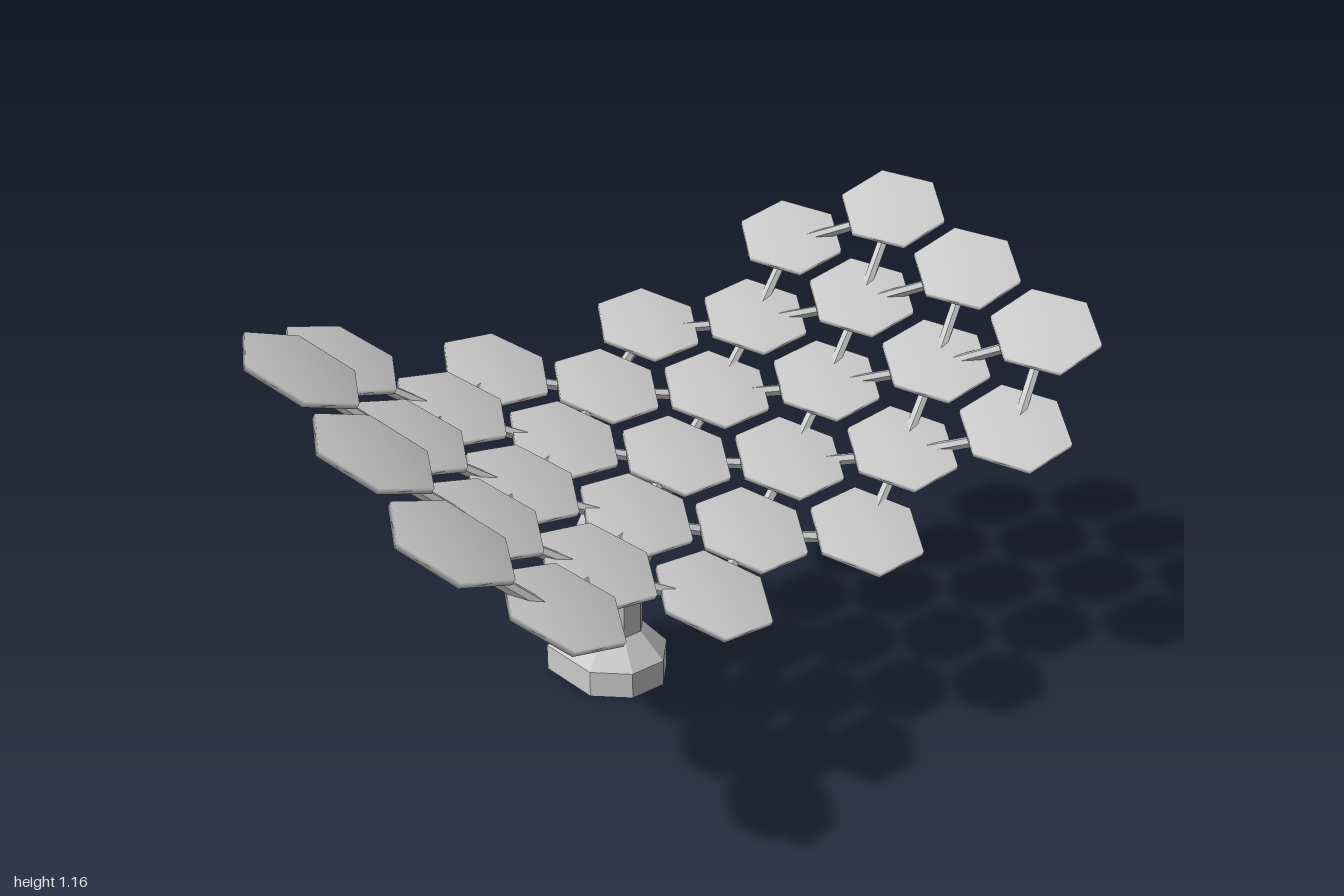
import * as THREE from 'three';
import { mergeVertices } from 'three/addons/utils/BufferGeometryUtils.js';

const grey = new THREE.MeshStandardMaterial({ color: 0xcccccc });
const greyFlat = new THREE.MeshStandardMaterial({ color: 0xcccccc, flatShading: true });
const rad = THREE.MathUtils.degToRad;

// Lofts an outline of [x, z] points through levels of [y, scaleX, scaleZ], with both ends capped.
function loft(outline, levels) {
  const n = outline.length;
  const pos = [];
  const index = [];
  for (const [y, sx, sz] of levels) for (const [x, z] of outline) pos.push(x * sx, y, z * sz);
  for (let l = 0; l < levels.length - 1; l++) {
    for (let i = 0; i < n; i++) {
      const a = l * n + i, b = l * n + (i + 1) % n;
      index.push(a, a + n, b + n, a, b + n, b);
    }
  }
  const top = (levels.length - 1) * n;
  for (let i = 1; i < n - 1; i++) index.push(0, i, i + 1, top, top + i + 1, top + i);
  const g = new THREE.BufferGeometry();
  g.setAttribute('position', new THREE.Float32BufferAttribute(pos, 3));
  g.setIndex(index);
  g.computeVertexNormals();
  return g;
}

function addMesh(parent, name, geometry, material, x = 0, y = 0, z = 0) {
  const m = new THREE.Mesh(geometry, material);
  m.name = name;
  m.position.set(x, y, z);
  parent.add(m);
  return m;
}

// Straight rod between two points
function addStrut(parent, a, b) {
  const d = b.clone().sub(a);
  const m = addMesh(parent, 'strut', new THREE.CylinderGeometry(0.014, 0.014, d.length() + 0.02, 6), greyFlat);
  m.position.copy(a).lerp(b, 0.5);
  m.quaternion.setFromUnitVectors(new THREE.Vector3(0, 1, 0), d.normalize());
}

// Thin hexagonal panel, points towards +x and -x, softly shaded
function panelGeometry() {
  const g = new THREE.CylinderGeometry(0.139, 0.139, 0.014, 6).rotateY(Math.PI / 2);
  g.deleteAttribute('normal');
  g.deleteAttribute('uv');
  const merged = mergeVertices(g);
  merged.computeVertexNormals();
  return merged;
}

export function createModel() {
  const model = new THREE.Group();
  model.name = 'panelDish';
  const axisZ = -0.285;

  // Pedestal: square at the back, chamfered at the front
  const section = [[1, -1], [1, 0.4], [0.4, 1], [-0.4, 1], [-1, 0.4], [-1, -1]];
  addMesh(model, 'pedestal', loft(section, [
    [0, 0.127, 0.129], [0.07, 0.127, 0.129], [0.14, 0.067, 0.068], [0.31, 0.067, 0.068],
  ]), greyFlat, 0, 0, axisZ);

  // Ball joint
  addMesh(model, 'ballJoint', new THREE.SphereGeometry(0.113, 8, 4), grey, 0, 0.38, axisZ);

  // Tapered arm leaning forward to the dish
  const square = [[1, -1], [1, 1], [-1, 1], [-1, -1]];
  const arm = addMesh(model, 'arm', loft(square, [[-0.03, 0.052, 0.054], [0.285, 0.036, 0.026]]),
    greyFlat, 0, 0.465, -0.252);
  arm.rotation.x = rad(44);

  // Dish: nine columns of panels along an arc, alternately three and four deep
  const dish = new THREE.Group();
  dish.name = 'dish';
  dish.position.set(0, 0.70, -0.043);
  dish.rotation.x = rad(20);
  model.add(dish);

  const radius = 1.354, pitch = 0.279;
  const panel = panelGeometry();
  const columns = [];
  for (let c = -4; c <= 4; c++) {
    const angle = rad(10 * c), tilt = angle / 2;
    const x = radius * Math.sin(angle), y = radius * (1 - Math.cos(angle));
    const count = c % 2 === 0 ? 3 : 4;
    const nodes = [];
    for (let i = 0; i < count; i++) {
      const z = (i - (count - 1) / 2) * pitch;
      addMesh(dish, 'panel', panel, grey, x, y, z).rotation.z = tilt;
      nodes.push(new THREE.Vector3(x + 0.02 * Math.sin(tilt), y - 0.02 * Math.cos(tilt), z));
    }
    columns.push(nodes);
  }

  // Struts joining each panel to its neighbours in the next column
  for (let c = 0; c < columns.length - 1; c++) {
    for (const a of columns[c]) {
      for (const b of columns[c + 1]) {
        if (Math.abs(a.z - b.z) < pitch * 0.6) addStrut(dish, a, b);
      }
    }
  }
  return model;
}
